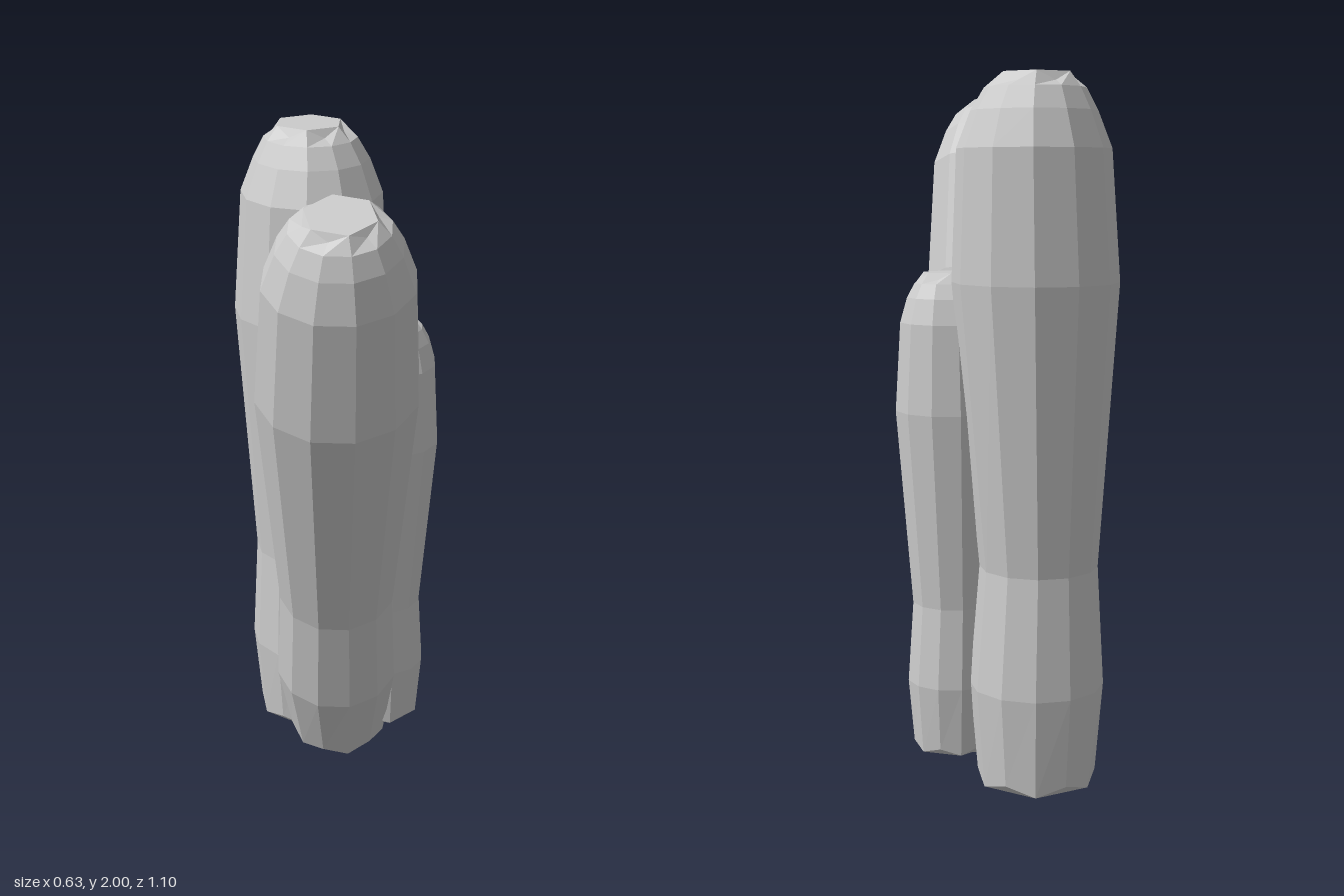
import * as THREE from 'three';

const SIDES = 12;

// Lofts a 12-sided stalk through rings of [y, centreX, centreZ, radius], all tilted about x.
// Both ends close with a hexagon whose in-between corners are pulled back.
function stalk(name, rings, spin, tilt, dip, material) {
  const pos = [], idx = [];
  const axis = new THREE.Vector3(1, 0, 0);
  rings.forEach(([y, cx, cz, r], i) => {
    const end = i === 0 ? 1 : i === rings.length - 1 ? -1 : 0;
    for (let k = 0; k < SIDES; k++) {
      const a = spin + (k / SIDES) * Math.PI * 2;
      const odd = k % 2;
      const p = new THREE.Vector3(Math.sin(a) * r, odd * end * dip, Math.cos(a) * r);
      p.applyAxisAngle(axis, tilt);
      pos.push(p.x + cx, p.y + y, p.z + cz);
    }
  });

  // Side walls
  for (let i = 0; i < rings.length - 1; i++) {
    for (let k = 0; k < SIDES; k++) {
      const a = i * SIDES + k, b = i * SIDES + (k + 1) % SIDES;
      idx.push(a, b, b + SIDES, a, b + SIDES, a + SIDES);
    }
  }

  // Hexagonal ends: a bevel triangle per side, then a flat fan
  const top = (rings.length - 1) * SIDES;
  for (let k = 0; k < SIDES; k += 2) {
    const n = (k + 2) % SIDES;
    idx.push(top + k, top + k + 1, top + n);
    idx.push(k, n, k + 1);
    if (k > 0 && n > 0) {
      idx.push(top, top + k, top + n);
      idx.push(0, n, k);
    }
  }

  const geometry = new THREE.BufferGeometry();
  geometry.setAttribute('position', new THREE.Float32BufferAttribute(pos, 3));
  geometry.setIndex(idx);
  geometry.computeVertexNormals();
  const mesh = new THREE.Mesh(geometry, material);
  mesh.name = name;
  return mesh;
}

export function createModel() {
  const group = new THREE.Group();
  group.name = 'stalkCluster';
  const material = new THREE.MeshStandardMaterial({ color: 0xcccccc, flatShading: true });

  // Tall upright stalk at the back
  group.add(stalk('tallStalk', [
    [0.02, -0.09, -0.315, 0.168],
    [0.30, -0.09, -0.31, 0.19],
    [0.64, -0.095, -0.305, 0.167],
    [1.44, -0.085, -0.32, 0.231],
    [1.80, -0.08, -0.33, 0.211],
    [1.90, -0.08, -0.335, 0.172],
    [1.96, -0.083, -0.338, 0.138],
    [2.00, -0.087, -0.34, 0.102],
  ], 0, 0, 0.025, material));

  // Thick stalk leaning forward
  group.add(stalk('leaningStalk', [
    [0.045, 0.01, -0.17, 0.155],
    [0.32, 0.01, -0.083, 0.192],
    [0.65, 0.015, 0.017, 0.177],
    [1.41, 0.028, 0.26, 0.229],
    [1.755, 0.037, 0.357, 0.206],
    [1.855, 0.04, 0.39, 0.168],
    [1.91, 0.042, 0.407, 0.135],
    [1.945, 0.043, 0.417, 0.098],
  ], 0.26, 0.28, 0.02, material));

  // Short slim stalk at the model's left
  group.add(stalk('shortStalk', [
    [0.08, 0.155, -0.21, 0.115],
    [0.28, 0.155, -0.21, 0.131],
    [0.51, 0.15, -0.2, 0.121],
    [1.07, 0.16, -0.2, 0.156],
    [1.32, 0.162, -0.197, 0.139],
    [1.39, 0.164, -0.197, 0.117],
    [1.43, 0.166, -0.198, 0.093],
    [1.46, 0.167, -0.199, 0.068],
  ], 0.26, 0, 0.018, material));

  return group;
}
